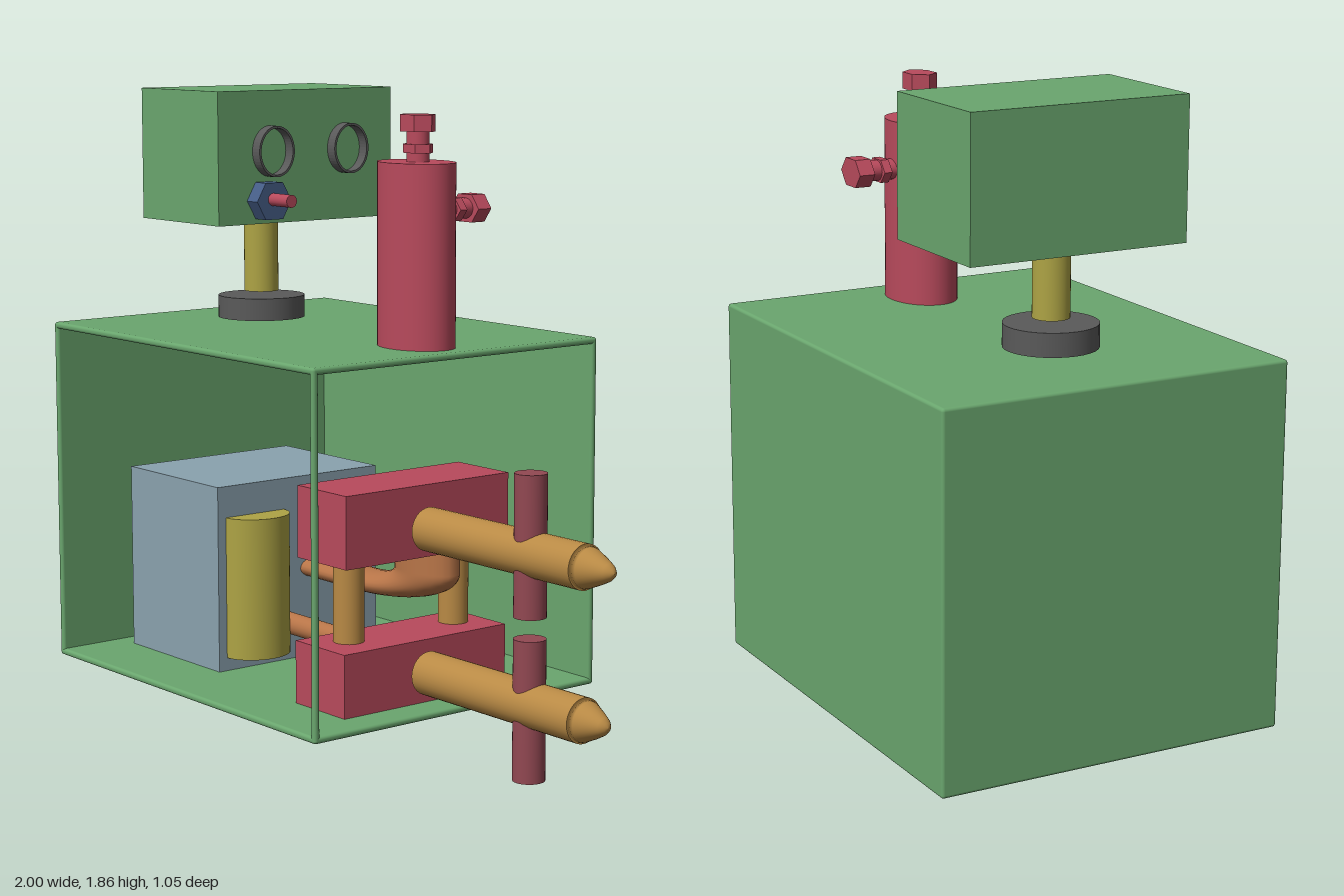
import * as THREE from 'three';
import { RoundedBoxGeometry } from 'three/addons/geometries/RoundedBoxGeometry.js';

const C = {
  green: 0x6aa66e, red: 0xb84a5c, darkRed: 0x924852, gold: 0xb98a45, copper: 0xb87548,
  steel: 0x8aa2ae, yellow: 0xaea445, grey: 0x5a5a5a, blue: 0x465e88,
};

function mesh(parent, name, geometry, color, opts = {}) {
  const m = new THREE.Mesh(geometry, new THREE.MeshStandardMaterial({ color, ...opts }));
  m.name = name;
  parent.add(m);
  return m;
}

// Box given by its minimum and maximum corners
function box(parent, name, color, a, b, radius = 0) {
  const s = a.map((v, i) => b[i] - v);
  const g = radius ? new RoundedBoxGeometry(...s, 3, radius) : new THREE.BoxGeometry(...s);
  const m = mesh(parent, name, g, color);
  m.position.set(...a.map((v, i) => (v + b[i]) / 2));
  return m;
}

// Upright elliptical cylinder from y0 to y1
function post(parent, name, color, x, z, y0, y1, rx, rz = rx, sides = 32) {
  const g = new THREE.CylinderGeometry(1, 1, y1 - y0, sides);
  if (sides === 6) g.rotateY(Math.PI / 6);
  g.scale(rx, 1, rz);
  const m = mesh(parent, name, g, color, { flatShading: sides === 6 });
  m.position.set(x, (y0 + y1) / 2, z);
  return m;
}

// Hex bolt on a neck with a collar, growing along +y
function fitting(name) {
  const g = new THREE.Group();
  g.name = name;
  post(g, 'fittingNeck', C.red, 0, 0, -0.02, 0.1, 0.036, 0.03, 24);
  post(g, 'fittingCollar', C.red, 0, 0, 0.025, 0.05, 0.053, 0.038, 6);
  post(g, 'fittingNut', C.red, 0, 0, 0.085, 0.133, 0.061, 0.046, 6);
  return g;
}

// Rod with a rounded pointed tip, and a vertical pin through it
function pinnedRod(name, y, tipX, pinY0, pinY1) {
  const g = new THREE.Group();
  g.name = name;
  const rod = new THREE.CylinderGeometry(0.064, 0.064, 0.65, 32).rotateZ(-Math.PI / 2);
  mesh(g, 'rodShaft', rod, C.gold).position.set(0.565, y, 0.058);
  const len = tipX - 0.89;
  const profile = [[0, 0], [0.06, 0], [0.056, 0.15], [0.04, 0.52], [0.025, 0.82], [0.013, 0.96], [0, 1]]
    .map(([r, t]) => new THREE.Vector2(r, t * len));
  const tip = new THREE.LatheGeometry(profile, 32).rotateZ(-Math.PI / 2);
  mesh(g, 'rodTip', tip, C.gold).position.set(0.89, y, 0.058);
  post(g, 'pin', C.darkRed, 0.675, 0.062, pinY0, pinY1, 0.046);
  return g;
}

export function createModel() {
  const model = new THREE.Group();

  // Housing: open at the front and at the +x side, with one corner post
  const housing = new THREE.Group();
  housing.name = 'housing';
  model.add(housing);
  const x0 = -1, x1 = 0.31, y0 = 0.1, y1 = 1.145, z = 0.523, t = 0.02, r = 0.009;
  box(housing, 'floor', C.green, [x0, y0, -z], [x1, y0 + t, z], r);
  box(housing, 'roof', C.green, [x0, y1 - t, -z], [x1, y1, z], r);
  box(housing, 'backWall', C.green, [x0, y0, -z], [x1, y1, -z + t], r);
  box(housing, 'sideWall', C.green, [x0, y0, -z], [x0 + t, y1, z], r);
  box(housing, 'cornerPost', C.green, [x1 - t, y0, z - t], [x1, y1, z], r);

  // Control box on its stand
  const control = new THREE.Group();
  control.name = 'controlBox';
  model.add(control);
  box(control, 'controlCase', C.green, [-0.86, 1.46, -0.368], [-0.462, 1.855, 0.282]);
  post(control, 'standPole', C.yellow, -0.622, 0.012, 1.24, 1.46, 0.052);
  post(control, 'standBase', C.grey, -0.622, 0.012, 1.16, 1.227, 0.132);

  // Gauge rings on the control face
  const ringShape = new THREE.Shape().absellipse(0, 0, 0.065, 0.076, 0, Math.PI * 2);
  ringShape.holes.push(new THREE.Path().absellipse(0, 0, 0.058, 0.069, 0, Math.PI * 2));
  for (const gz of [0.093, -0.187]) {
    const g = new THREE.ExtrudeGeometry(ringShape, { depth: 0.04, bevelEnabled: false, curveSegments: 24 });
    mesh(control, 'gaugeRing', g.rotateY(Math.PI / 2), C.grey).position.set(-0.466, 1.675, gz);
  }

  // Switch: hex nut and lever
  const nut = new THREE.CylinderGeometry(0.063, 0.063, 0.055, 6).rotateZ(-Math.PI / 2);
  mesh(control, 'switchNut', nut, C.blue, { flatShading: true }).position.set(-0.438, 1.53, 0.116);
  const lever = new THREE.CylinderGeometry(0.019, 0.019, 0.1, 20).rotateZ(-Math.PI / 2);
  mesh(control, 'switchLever', lever, C.red).position.set(-0.37, 1.535, 0.12);

  // Reservoir on the roof with top and side fittings
  const reservoir = new THREE.Group();
  reservoir.name = 'reservoir';
  model.add(reservoir);
  post(reservoir, 'reservoirTank', C.red, 0.13, 0.016, 1.13, 1.67, 0.13, 0.098, 48);
  const topFitting = fitting('topFitting');
  topFitting.position.set(0.132, 1.67, 0.013);
  const sideFitting = fitting('sideFitting');
  sideFitting.position.set(0.132, 1.53, -0.077);
  sideFitting.rotation.x = -Math.PI / 2;
  reservoir.add(topFitting, sideFitting);

  // Motor block with a half-round cover
  box(model, 'motorBlock', C.steel, [-0.905, 0.115, -0.29], [-0.44, 0.685, 0.312]);
  const cover = new THREE.CylinderGeometry(1, 1, 0.43, 24, 1, false, 0, Math.PI).scale(0.096, 1, 0.108);
  mesh(model, 'motorCover', cover, C.yellow, { side: THREE.DoubleSide }).position.set(-0.44, 0.375, 0.175);

  // Clamp blocks joined by two columns
  box(model, 'upperBlock', C.red, [-0.005, 0.55, -0.258], [0.22, 0.76, 0.342]);
  box(model, 'lowerBlock', C.red, [-0.017, 0.117, -0.258], [0.21, 0.305, 0.342]);
  for (const cz of [0.228, -0.163]) post(model, 'column', C.gold, 0.085, cz, 0.3, 0.555, 0.045);

  // Flattened elbow pipe to the upper block, straight pipe to the lower one
  const R = 2.28, k = R * 0.5523;
  const path = new THREE.CurvePath();
  const v = (x, y) => new THREE.Vector3(x, y, 0);
  path.add(new THREE.LineCurve3(v(-1.95, 0), v(0, 0)));
  path.add(new THREE.CubicBezierCurve3(v(0, 0), v(k, 0), v(R, R - k), v(R, R)));
  path.add(new THREE.LineCurve3(v(R, R), v(R, 4.7)));
  const elbow = new THREE.TubeGeometry(path, 60, 1, 24).scale(0.125, 0.034, 0.068);
  mesh(model, 'elbowPipe', elbow, C.copper, { side: THREE.DoubleSide }).position.set(-0.2, 0.397, -0.063);
  const pipe = new THREE.CylinderGeometry(0.033, 0.033, 0.44, 24).rotateZ(-Math.PI / 2);
  mesh(model, 'lowerPipe', pipe, C.copper).position.set(-0.225, 0.238, 0.06);

  // Pair of pointed rods
  model.add(pinnedRod('upperRod', 0.635, 1, 0.46, 0.86));
  model.add(pinnedRod('lowerRod', 0.214, 0.985, 0, 0.4));

  return model;
}
